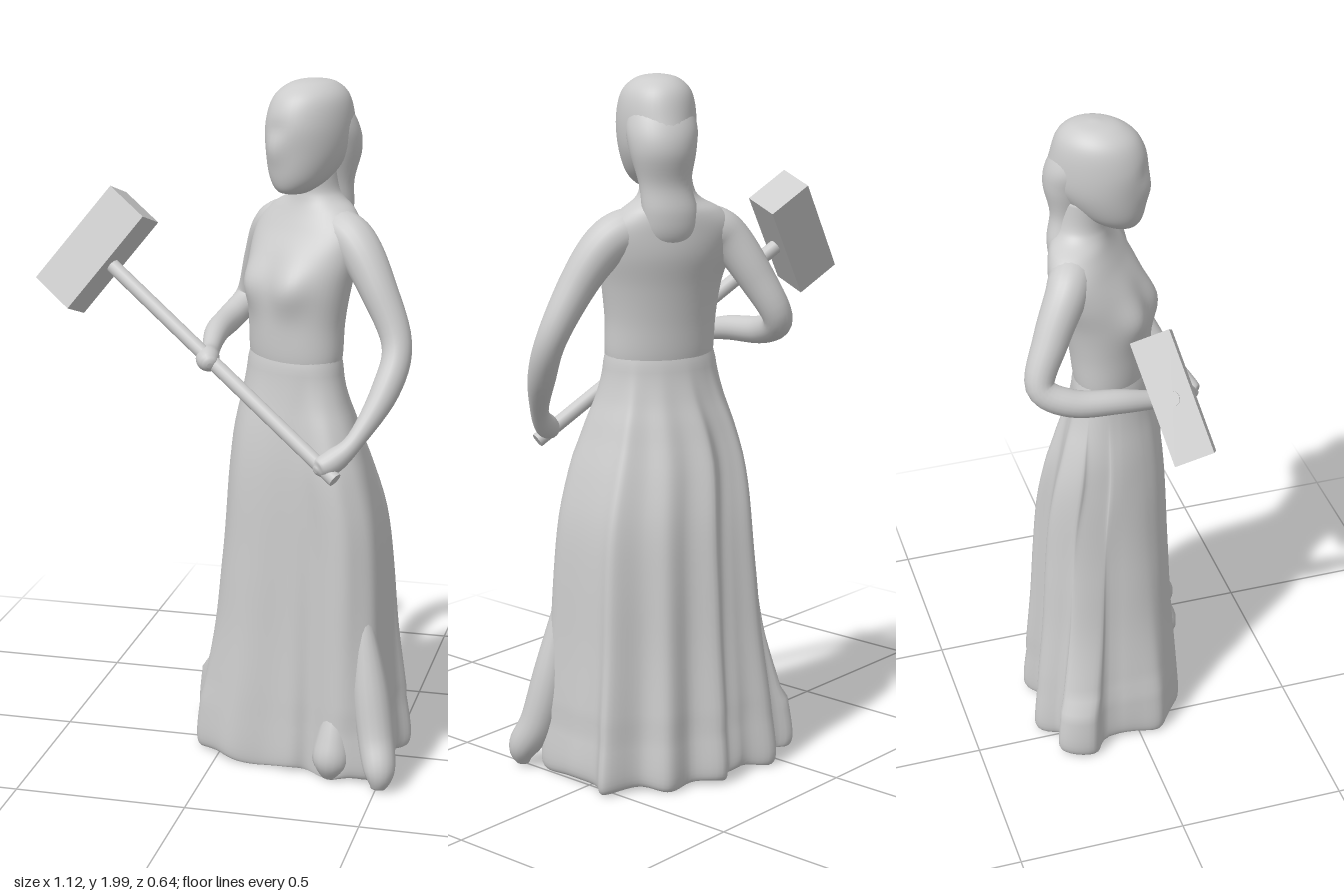
import * as THREE from 'three';

const V = (x, y, z) => new THREE.Vector3(x, y, z);
const FACING = 0.59; // turn of the body about y: lateral axis angle in x/z
const grey = () => new THREE.MeshStandardMaterial({ color: 0xcccccc });

// Catmull-Rom sampling of the rows of a small table
function sample(table, t) {
  const last = table.length - 1, i = Math.min(Math.floor(t), last - 1), f = t - i;
  const row = k => table[Math.max(0, Math.min(last, k))];
  return table[0].map((_, c) => {
    const [p, q, r, s] = [row(i - 1)[c], row(i)[c], row(i + 1)[c], row(i + 2)[c]];
    return q + 0.5 * f * (r - p + f * (2 * p - 5 * q + 4 * r - s + f * (3 * (q - r) + s - p)));
  });
}

// Smooth skin over closed rings of points, with both ends capped
function loft(name, rings) {
  const n = rings[0].length, pos = [], idx = [];
  const mid = ring => ring.reduce((m, p) => m.addScaledVector(p, 1 / n), V(0, 0, 0));
  const all = [rings[0].map(() => mid(rings[0])), ...rings,
    rings[0].map(() => mid(rings[rings.length - 1]))];
  all.forEach(ring => ring.forEach(p => pos.push(p.x, p.y, p.z)));
  for (let i = 0; i < all.length - 1; i++) {
    for (let j = 0; j < n; j++) {
      const a = i * n + j, b = i * n + (j + 1) % n;
      idx.push(a, a + n, b, b, a + n, b + n);
    }
  }
  const g = new THREE.BufferGeometry();
  g.setAttribute('position', new THREE.Float32BufferAttribute(pos, 3));
  g.setIndex(idx);
  g.computeVertexNormals();
  const mesh = new THREE.Mesh(g, grey());
  mesh.name = name;
  return mesh;
}

// Round limb through rows of [x, y, z, radius]
function limb(name, rows, sides = 20) {
  const steps = (rows.length - 1) * 6, rings = [];
  const at = t => V(...sample(rows, Math.max(0, Math.min(rows.length - 1, t))).slice(0, 3));
  let normal = V(0.3, 0.2, 1);
  for (let i = 0; i <= steps; i++) {
    const t = i / 6, T = at(t + 0.05).sub(at(t - 0.05)).normalize();
    normal = normal.clone().addScaledVector(T, -normal.dot(T)).normalize();
    const N = normal, B = T.clone().cross(N), c = at(t), r = Math.max(0.002, sample(rows, t)[3]);
    rings.push(Array.from({ length: sides }, (_, j) => {
      const a = j / sides * Math.PI * 2;
      return c.clone().addScaledVector(N, r * Math.cos(a)).addScaledVector(B, -r * Math.sin(a));
    }));
  }
  return loft(name, rings);
}

// Point on an ellipse turned with the body, at world angle th
function oval(th, y, cx, cz, a, b, extra = 0) {
  const p = th - FACING;
  const r = 1 / Math.hypot(Math.cos(p) / a, Math.sin(p) / b) + extra;
  return V(cx + r * Math.cos(th), y, cz + r * Math.sin(th));
}

// Stacked ovals from rows of [y, cx, cz, half width, half depth]
function ovalStack(name, rows, bump = () => 0, sides = 40) {
  const rings = [], steps = (rows.length - 1) * 6;
  for (let i = 0; i <= steps; i++) {
    const [y, cx, cz, a, b] = sample(rows, i / 6);
    rings.push(Array.from({ length: sides }, (_, j) => {
      const th = j / sides * Math.PI * 2;
      return oval(th, y, cx, cz, Math.max(a, 0.003), Math.max(b, 0.003), bump(th - FACING, y));
    }));
  }
  return loft(name, rings);
}

const bell = (x, c, w) => Math.exp(-(((x - c) / w) ** 2));
const FRONT = Math.PI / 2;

// Torso swelling at the chest
const chest = (p, y) => 0.026 * bell(y, 1.43, 0.07) *
  (bell(p, FRONT - 0.55, 0.4) + bell(p, FRONT + 0.55, 0.4));

// Face: nose and brow; back of the head: gathered hair
const face = (p, y) => bell(p, FRONT, 0.25) * (0.01 * bell(y, 1.81, 0.04) - 0.006 * bell(y, 1.87, 0.025)) +
  0.03 * bell(p, 3 * FRONT, 0.6) * bell(y, 1.81, 0.06);

// Skirt: waist oval blended into a folded hem outline
function skirt() {
  // x, z of the hem and how late that fold flares out
  const hem = new THREE.CatmullRomCurve3([
    [0.51, -0.02, 0.6], [0.515, 0.08, 0.55], [0.495, 0.18, 0.55], [0.44, 0.225, 0.55],
    [0.37, 0.225, 0.55], [0.29, 0.185, 0.65], [0.22, 0.185, 0.8], [0.12, 0.17, 0.9],
    [0.02, 0.15, 1.1], [-0.05, 0.09, 1.35], [-0.085, 0.03, 1.55], [-0.07, -0.07, 1.5],
    [-0.135, -0.17, 2.4], [-0.09, -0.26, 1.8], [-0.01, -0.25, 1], [0.05, -0.305, 0.85],
    [0.13, -0.26, 0.7], [0.18, -0.25, 0.7], [0.24, -0.285, 0.65], [0.32, -0.23, 0.7],
    [0.40, -0.21, 0.7], [0.45, -0.14, 0.7], [0.54, -0.09, 0.75],
  ].map(([x, z, late]) => V(x, late, z)), true);
  const n = 138, outline = hem.getPoints(n).slice(0, n);
  // y, blend towards the hem
  const rows = [[0.03, 0.8], [0.006, 0.94], [0.05, 1.01], [0.2, 0.92], [0.4, 0.77], [0.6, 0.67],
    [0.8, 0.54], [1.0, 0.28], [1.1, 0.12], [1.18, 0.025], [1.25, 0]];
  const rings = [];
  for (let i = 0; i <= (rows.length - 1) * 5; i++) {
    const [y, blend] = sample(rows, i / 5), inset = 0.2 * Math.max(0, y - 1.2);
    rings.push(outline.map((h, j) => {
      const th = Math.atan2(h.z + 0.03, h.x - 0.21);
      const w = Math.max(0, blend) ** (blend > 0.93 ? 1 : 1 + (h.y - 1) * Math.min(1, blend * 2.5));
      const p = oval(th, y, 0.2, -0.005, 0.158 - inset, 0.108 - inset).lerp(V(h.x, y, h.z), w);
      const pleat = 0.005 * w * w * Math.sin(j / n * Math.PI * 26 + 2.5 * y);
      p.x += pleat * Math.cos(th) - 0.022 * bell(y, 0.95, 0.16); // hip leans to one side
      p.z += pleat * Math.sin(th);
      p.y += 0.006 * (1 + Math.sin(j / n * Math.PI * 18)) * bell(y, 0, 0.1);
      return p;
    }));
  }
  return loft('skirt', rings);
}

export function createModel() {
  const model = new THREE.Group();
  model.name = 'womanWithHammer';

  model.add(skirt());
  model.add(ovalStack('torso', [
    [1.15, 0.2, -0.005, 0.14, 0.09], [1.22, 0.2, -0.005, 0.155, 0.107],
    [1.32, 0.2, -0.01, 0.158, 0.115], [1.42, 0.205, -0.02, 0.17, 0.122],
    [1.51, 0.215, -0.045, 0.187, 0.118], [1.58, 0.225, -0.067, 0.187, 0.1],
    [1.63, 0.233, -0.078, 0.145, 0.086], [1.665, 0.24, -0.075, 0.092, 0.074],
    [1.7, 0.243, -0.073, 0.074, 0.07], [1.77, 0.243, -0.063, 0.074, 0.07],
  ], chest, 56));

  // Head, and hair falling down the nape into the back
  model.add(ovalStack('head', [
    [1.684, 0.197, 0.025, 0.01, 0.01], [1.692, 0.197, 0.022, 0.042, 0.05],
    [1.73, 0.21, 0.002, 0.078, 0.093], [1.8, 0.225, -0.02, 0.103, 0.128],
    [1.88, 0.23, -0.025, 0.108, 0.138], [1.95, 0.233, -0.03, 0.095, 0.118],
    [1.988, 0.236, -0.035, 0.058, 0.072], [2.0, 0.236, -0.035, 0.008, 0.01],
  ], face, 48));
  model.add(ovalStack('hair', [
    [1.5, 0.25, -0.09, 0.03, 0.02], [1.56, 0.265, -0.11, 0.07, 0.045],
    [1.63, 0.273, -0.114, 0.078, 0.052], [1.71, 0.278, -0.1, 0.073, 0.055],
    [1.8, 0.278, -0.092, 0.092, 0.082], [1.87, 0.265, -0.075, 0.097, 0.088],
    [1.94, 0.25, -0.05, 0.07, 0.07], [1.96, 0.25, -0.05, 0.01, 0.01],
  ]));

  // Arms, each ending in a hand closed on the handle
  model.add(limb('leftArm', [
    [0.25, 1.58, -0.055, 0.06], [0.33, 1.575, -0.005, 0.064], [0.385, 1.535, 0.03, 0.063],
    [0.445, 1.44, 0.068, 0.054], [0.511, 1.29, 0.11, 0.043], [0.492, 1.17, 0.17, 0.04],
    [0.425, 1.045, 0.248, 0.026], [0.37, 0.99, 0.276, 0.034], [0.335, 0.972, 0.296, 0.028],
    [0.325, 0.968, 0.306, 0.008],
  ]));
  model.add(limb('rightArm', [
    [0.2, 1.585, -0.09, 0.06], [0.13, 1.575, -0.14, 0.063], [0.088, 1.54, -0.17, 0.06],
    [0.045, 1.44, -0.225, 0.052], [0.0, 1.32, -0.272, 0.042], [-0.035, 1.27, -0.19, 0.04],
    [-0.045, 1.255, -0.05, 0.035], [-0.033, 1.23, 0.07, 0.026], [-0.025, 1.222, 0.135, 0.034],
    [-0.012, 1.213, 0.165, 0.024], [-0.008, 1.21, 0.174, 0.008],
  ]));

  // Trailing folds of cloth at the hem
  const folds = [
    [[0.44, 0.5, 0.16, 0.02], [0.465, 0.3, 0.178, 0.05], [0.49, 0.15, 0.208, 0.052],
      [0.51, 0.065, 0.25, 0.045], [0.508, 0.014, 0.258, 0.02]],
    [[0.37, 0.25, 0.175, 0.02], [0.365, 0.13, 0.19, 0.05], [0.36, 0.06, 0.2, 0.056],
      [0.355, 0.01, 0.2, 0.025]],
  ];
  folds.forEach(rows => model.add(limb('hemFold', rows, 16)));

  // Hammer: handle runs through the block
  const low = V(0.38, 0.943, 0.303), high = V(-0.46, 1.531, -0.037);
  const dir = low.clone().sub(high).normalize();
  const hammer = new THREE.Group();
  hammer.name = 'hammer';
  const handle = new THREE.Mesh(new THREE.CylinderGeometry(0.021, 0.021, low.distanceTo(high), 16), grey());
  handle.name = 'handle';
  handle.position.copy(low).add(high).multiplyScalar(0.5);
  handle.quaternion.setFromUnitVectors(V(0, 1, 0), dir);
  const block = new THREE.Mesh(new THREE.BoxGeometry(0.14, 0.345, 0.11), grey());
  block.name = 'hammerHead';
  const side = dir.clone().cross(V(0.21, 0.27, -0.06)).normalize();
  block.quaternion.setFromRotationMatrix(new THREE.Matrix4().makeBasis(dir, side.clone().cross(dir), side));
  block.position.set(-0.393, 1.486, -0.01);
  hammer.add(handle, block);
  model.add(hammer);
  return model;
}
